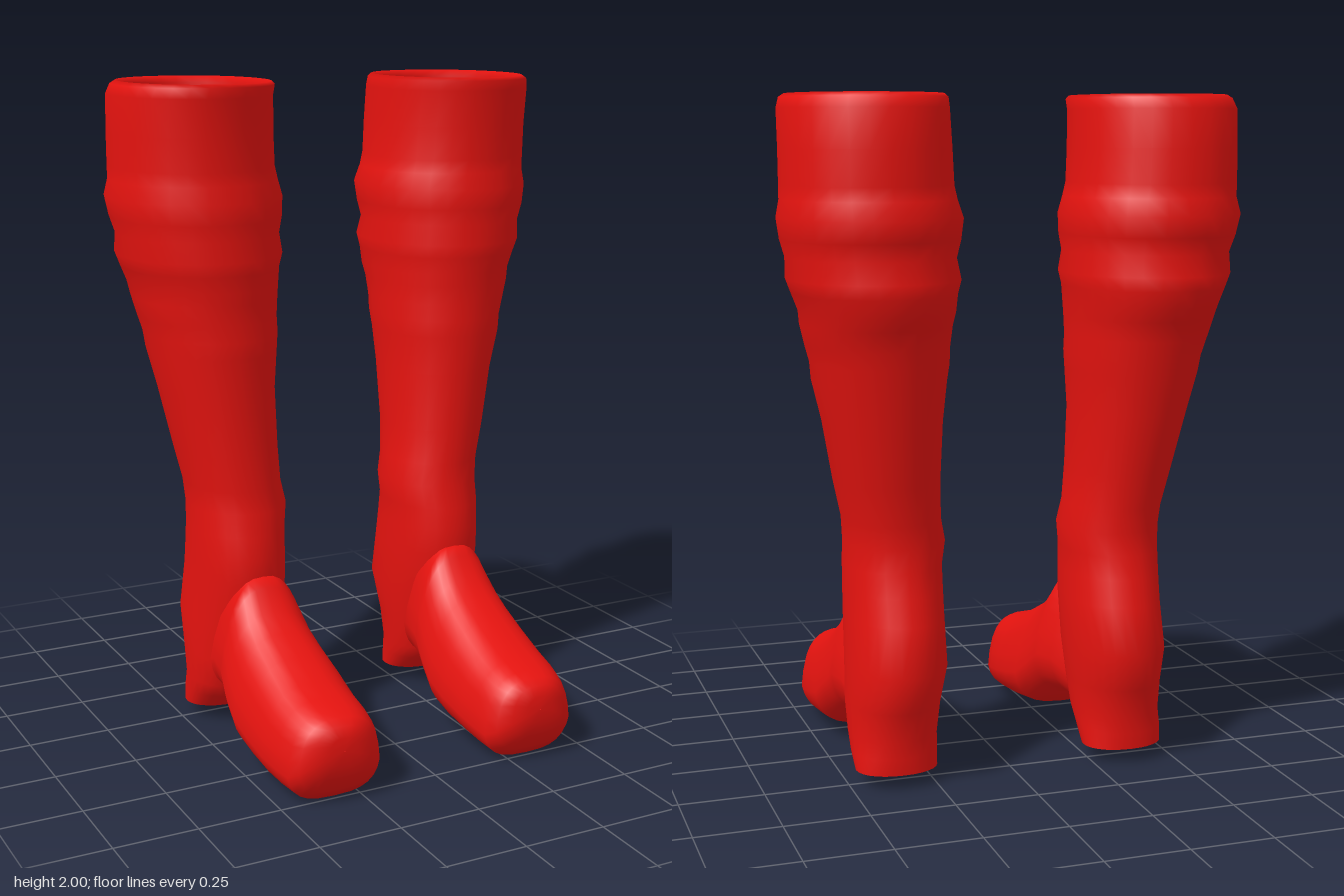
import * as THREE from 'three';

const SEGMENTS = 28;
const red = new THREE.MeshStandardMaterial({ color: 0xe5130f, side: THREE.DoubleSide });

// Skin a list of closed rings; side = -1 mirrors the result in x
function loft(name, rings, side) {
  const positions = [], index = [];
  rings.forEach((ring) => ring.forEach((p) => positions.push(side * p[0], p[1], p[2])));
  for (let i = 0; i < rings.length - 1; i++) {
    for (let j = 0; j < SEGMENTS; j++) {
      const k = (j + 1) % SEGMENTS;
      const a = i * SEGMENTS + j, b = i * SEGMENTS + k;
      const c = a + SEGMENTS, d = b + SEGMENTS;
      if (side > 0) index.push(a, c, b, b, c, d);
      else index.push(a, b, c, b, d, c);
    }
  }
  const geometry = new THREE.BufferGeometry();
  geometry.setAttribute('position', new THREE.Float32BufferAttribute(positions, 3));
  geometry.setIndex(index);
  geometry.computeVertexNormals();
  const mesh = new THREE.Mesh(geometry, red);
  mesh.name = name;
  return mesh;
}

// Unit superellipse; a lower power gives a squarer outline
function outline(power) {
  return Array.from({ length: SEGMENTS }, (_, j) => {
    const t = (j / SEGMENTS) * Math.PI * 2;
    const bend = (v) => Math.sign(v) * Math.pow(Math.abs(v), power);
    return [bend(Math.cos(t)), bend(Math.sin(t))];
  });
}

// Horizontal ring of the shaft
function shaftRing([y, x0, x1, z0, z1]) {
  return outline(0.94).map(([u, v]) => [
    (x0 + x1) / 2 + (u * (x1 - x0)) / 2, y, (z0 + z1) / 2 + (v * (z1 - z0)) / 2,
  ]);
}

// Upright ring of the foot; taper narrows its top
function footRing([z, y0, y1, x0, x1, taper]) {
  return outline(0.68).map(([u, v]) => {
    const up = -v;
    const narrow = 1 - taper * Math.max(0, up + 0.3) / 1.3;
    return [
      (x0 + x1) / 2 + (u * narrow * (x1 - x0)) / 2, (y0 + y1) / 2 + (up * (y1 - y0)) / 2, z,
    ];
  });
}

// y, inner x, outer x, back z, front z
const SHAFT = [
  [0.05, 0.235, 0.48, -0.345, -0.17],
  [0.10, 0.23, 0.485, -0.35, -0.115],
  [0.15, 0.225, 0.485, -0.352, -0.06],
  [0.24, 0.215, 0.49, -0.37, -0.03],
  [0.36, 0.20, 0.49, -0.42, 0.00],
  [0.50, 0.20, 0.485, -0.39, 0.03],
  [0.58, 0.20, 0.485, -0.37, 0.025],
  [0.65, 0.20, 0.485, -0.355, 0.02],
  [0.72, 0.19, 0.485, -0.35, 0.005],
  [0.79, 0.205, 0.49, -0.36, 0.00],
  [0.90, 0.21, 0.515, -0.38, 0.00],
  [1.08, 0.21, 0.55, -0.425, 0.00],
  [1.20, 0.20, 0.58, -0.45, 0.01],
  [1.25, 0.195, 0.585, -0.465, 0.012],
  [1.30, 0.195, 0.60, -0.475, 0.01],
  [1.36, 0.19, 0.615, -0.495, 0.015],
  [1.40, 0.185, 0.62, -0.52, 0.02],
  [1.45, 0.18, 0.64, -0.53, 0.025],
  [1.49, 0.17, 0.655, -0.54, 0.035],
  [1.55, 0.18, 0.655, -0.52, 0.025],
  [1.60, 0.17, 0.67, -0.54, 0.035],
  [1.66, 0.165, 0.68, -0.555, 0.035],
  [1.71, 0.18, 0.67, -0.535, 0.025],
  [1.75, 0.19, 0.67, -0.535, 0.025],
  [1.85, 0.195, 0.67, -0.535, 0.03],
  [1.96, 0.20, 0.67, -0.53, 0.045],
  [1.99, 0.20, 0.66, -0.515, 0.055],
  [2.00, 0.21, 0.645, -0.50, 0.045],
  [1.98, 0.225, 0.635, -0.49, 0.03],
  [1.90, 0.225, 0.635, -0.50, 0.01],
];

// z, bottom y, top y, inner x, outer x, taper
const FOOT = [
  [-0.12, 0.13, 0.46, 0.23, 0.46, 0.4],
  [-0.05, 0.145, 0.52, 0.20, 0.475, 0.4],
  [0.03, 0.13, 0.53, 0.185, 0.485, 0.4],
  [0.05, 0.125, 0.50, 0.18, 0.49, 0.38],
  [0.10, 0.095, 0.44, 0.17, 0.50, 0.35],
  [0.17, 0.045, 0.395, 0.16, 0.505, 0.32],
  [0.26, 0.032, 0.35, 0.155, 0.505, 0.3],
  [0.36, 0.02, 0.305, 0.16, 0.50, 0.26],
  [0.43, 0.012, 0.285, 0.165, 0.49, 0.22],
  [0.485, 0.005, 0.27, 0.175, 0.475, 0.2],
  [0.52, 0.04, 0.257, 0.195, 0.455, 0.2],
  [0.545, 0.085, 0.242, 0.235, 0.42, 0.2],
  [0.555, 0.13, 0.21, 0.28, 0.375, 0.2],
  [0.556, 0.169, 0.171, 0.325, 0.327, 0],
];

// Flat heel base: a ring collapsing to its middle, kept apart for a hard edge
const HEEL = [[0.05, 0.357, 0.358, -0.258, -0.257], SHAFT[0]];

function makeBoot(name, side) {
  const boot = new THREE.Group();
  boot.name = name;
  boot.add(
    loft('shaft', SHAFT.map(shaftRing), side),
    loft('heelBase', HEEL.map(shaftRing), side),
    loft('foot', FOOT.map(footRing), side),
  );
  return boot;
}

export function createModel() {
  const model = new THREE.Group();
  model.name = 'tallBoots';
  model.add(makeBoot('leftBoot', 1), makeBoot('rightBoot', -1));
  return model;
}
